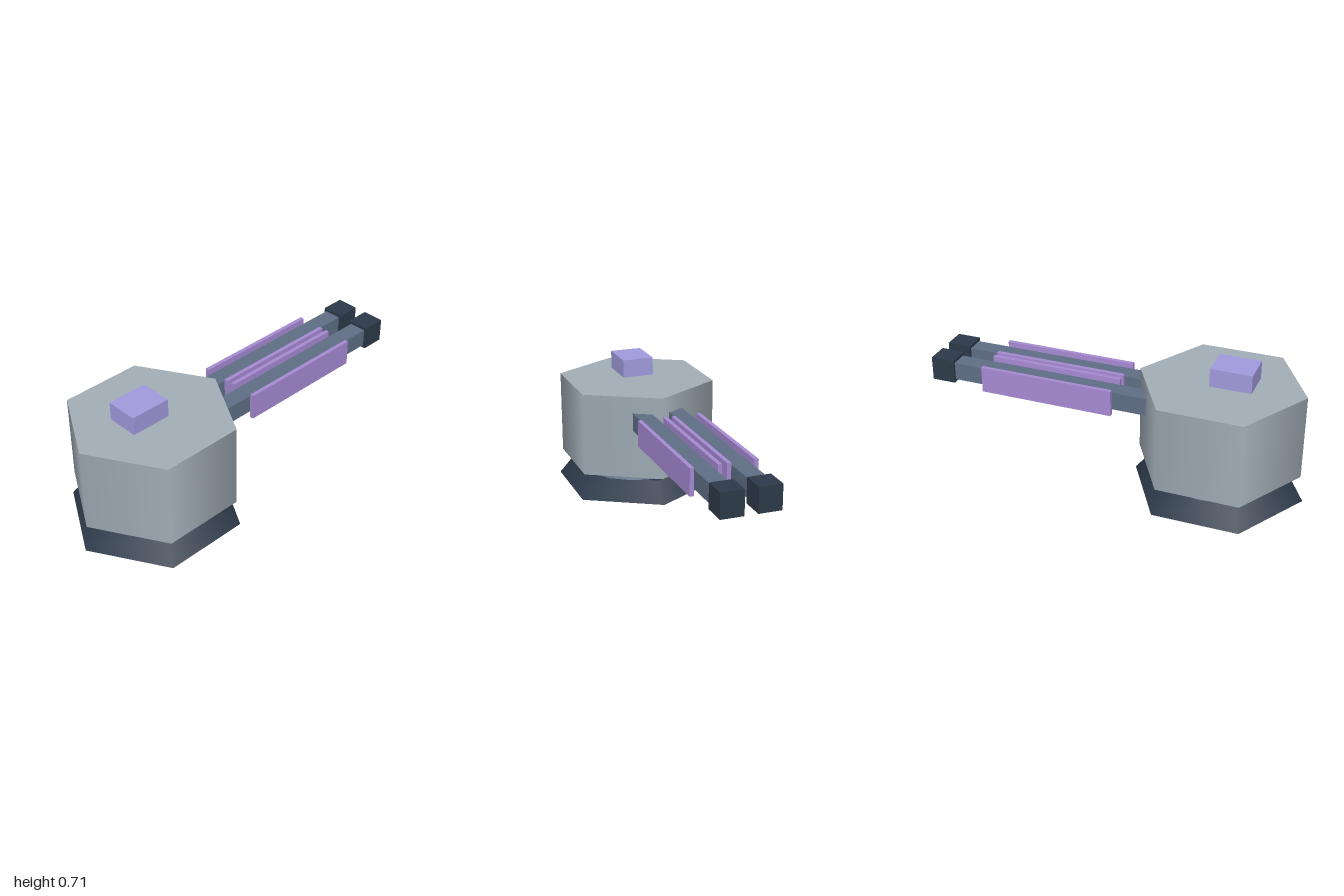
import * as THREE from 'three';

const mat = (color) => new THREE.MeshStandardMaterial({ color });

export function createModel() {
  const model = new THREE.Group();
  model.name = 'turret';
  const dark = mat(0x2d3a4a);
  const steel = mat(0x5f6f86);
  const hull = mat(0xa2aeb8);
  const violet = mat(0xa78bd4);
  const lilac = mat(0xa19bde);
  const centreZ = 0.55;

  const add = (parent, name, geometry, material, x, y, z) => {
    const mesh = new THREE.Mesh(geometry, material);
    mesh.name = name;
    mesh.position.set(x, y, z);
    parent.add(mesh);
  };

  // Drum section between two heights, with smooth sides and flat caps
  const drum = (name, rTop, rBottom, y0, y1, sides, material) =>
    add(model, name, new THREE.CylinderGeometry(rTop, rBottom, y1 - y0, sides),
      material, 0, (y0 + y1) / 2, centreZ);

  drum('base', 0.365, 0.45, 0, 0.109, 6, dark);
  drum('swivelRing', 0.32, 0.335, 0.109, 0.145, 16, steel);
  drum('turretBody', 0.43, 0.43, 0.142, 0.594, 6, hull);

  // Sensor block hovering just above the roof
  add(model, 'sensor', new THREE.BoxGeometry(0.171, 0.097, 0.214), lilac, 0, 0.658, 0.615);

  // Twin guns: barrel, muzzle and a rail on each side
  const gunY = 0.456;
  for (const side of [1, -1]) {
    const gun = new THREE.Group();
    gun.name = side > 0 ? 'leftGun' : 'rightGun';
    gun.position.set(side * 0.0925, gunY, 0);
    add(gun, 'barrel', new THREE.BoxGeometry(0.093, 0.096, 1.17), steel, 0, 0, -0.345);
    add(gun, 'muzzle', new THREE.BoxGeometry(0.118, 0.128, 0.128), dark, 0, 0, -0.936);
    for (const edge of [1, -1]) {
      add(gun, 'rail', new THREE.BoxGeometry(0.021, 0.14, 0.72), violet, edge * 0.0695, 0, -0.337);
    }
    model.add(gun);
  }
  return model;
}
